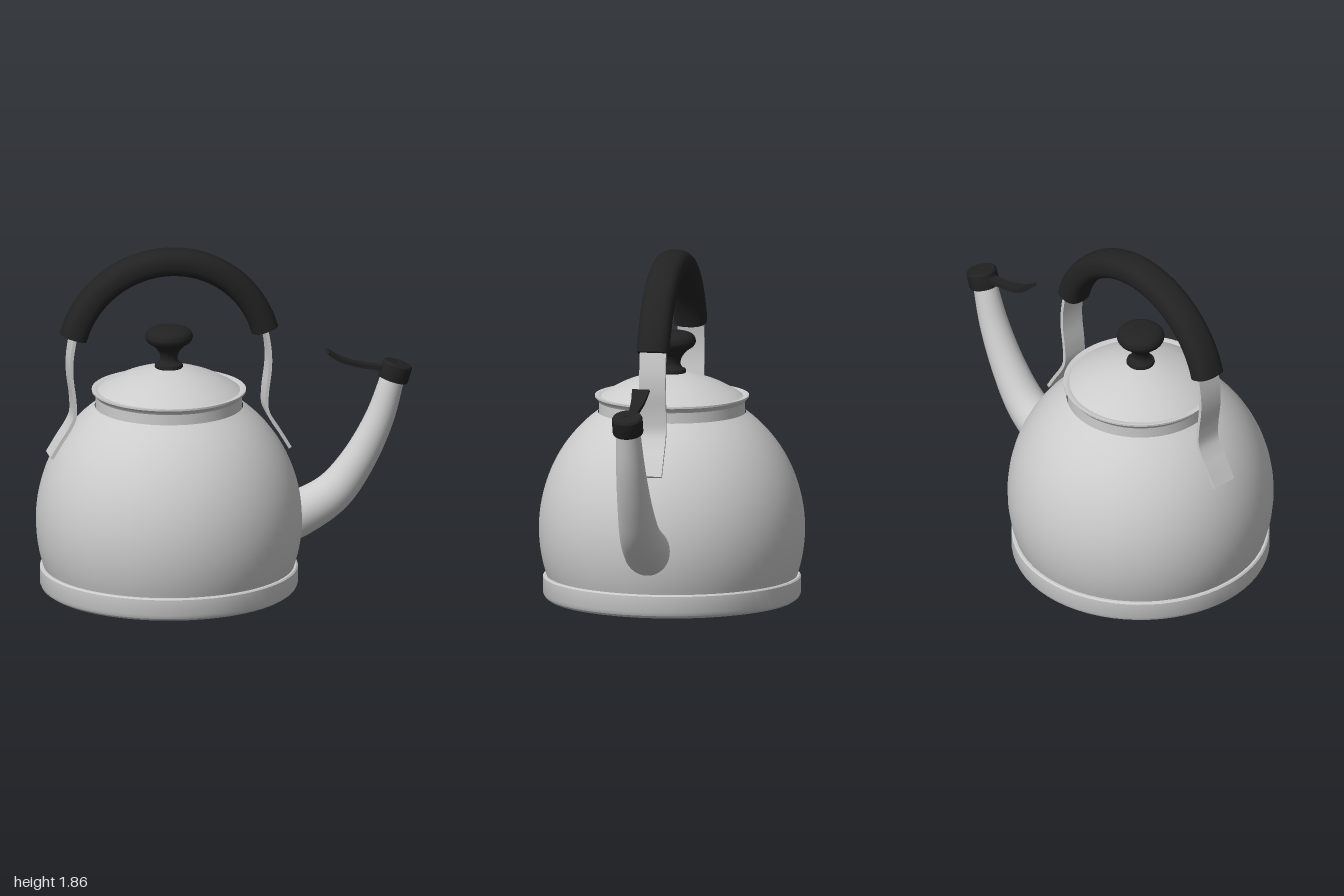
import * as THREE from 'three';
import { toCreasedNormals } from 'three/addons/utils/BufferGeometryUtils.js';

const steel = new THREE.MeshStandardMaterial({ name: 'steel', color: 0xcccccc });
const black = new THREE.MeshStandardMaterial({ name: 'blackPlastic', color: 0x222222 });

const CX = -0.3; // axis of the body

function curve(points, n) {
  return new THREE.CatmullRomCurve3(points.map(([x, y]) => new THREE.Vector3(x, y, 0))).getPoints(n);
}

// Unit cross-sections
const SQUARE = [[1, 1], [-1, 1], [-1, -1], [1, -1]];
function roundSection(n, power = 1) {
  const bend = (v) => Math.sign(v) * Math.abs(v) ** power;
  return Array.from({ length: n }, (_, i) => {
    const a = (i / n) * Math.PI * 2;
    return [bend(Math.cos(a)), bend(Math.sin(a))];
  });
}

// Sweep a section along a path in the xy plane; size(t) = [half thickness, half width in z]
function sweep(path, section, size, crease = 0.7) {
  const pos = [], idx = [], n = section.length, last = path.length - 1;
  path.forEach((p, i) => {
    const t = path[Math.min(i + 1, last)].clone().sub(path[Math.max(i - 1, 0)]).normalize();
    const [a, b] = size(i / last);
    for (const [u, v] of section) pos.push(p.x - t.y * a * u, p.y + t.x * a * u, b * v);
  });
  for (let i = 0; i < last; i++) {
    for (let j = 0; j < n; j++) {
      const k = (j + 1) % n, r = i * n, s = r + n;
      idx.push(r + j, r + k, s + k, r + j, s + k, s + j);
    }
  }
  // end caps
  for (let j = 1; j < n - 1; j++) idx.push(0, j + 1, j, last * n, last * n + j, last * n + j + 1);
  const g = new THREE.BufferGeometry();
  g.setAttribute('position', new THREE.Float32BufferAttribute(pos, 3));
  g.setIndex(idx);
  return toCreasedNormals(g, crease);
}

function lathe(profile, segments = 64) {
  const pts = profile.map(([r, y]) => new THREE.Vector2(r, y));
  return toCreasedNormals(new THREE.LatheGeometry(pts, segments), 0.5);
}

export function createModel() {
  const group = new THREE.Group();
  function add(name, geometry, material, x = 0, y = 0) {
    const mesh = new THREE.Mesh(geometry, material);
    mesh.name = name;
    mesh.position.set(x, y, 0);
    group.add(mesh);
    return mesh;
  }

  // Base band
  add('base', lathe([[0, 0], [0.62, 0], [0.65, 0.006], [0.67, 0.02], [0.679, 0.04],
    [0.679, 0.125], [0.672, 0.132], [0.64, 0.132]]), steel, CX);

  // Rounded body and neck
  const body = [];
  for (let i = 0; i <= 28; i++) {
    const y = 0.125 + (i / 28) * 0.875;
    body.push([0.7 * Math.sqrt(1 - ((y - 0.38) / 0.747) ** 2), y]);
  }
  add('body', lathe(body), steel, CX);
  add('neck', lathe([[0.385, 0.98], [0.385, 1.065]]), steel, CX);

  // Lid with thin rim
  const dome = curve([[0.375, 1.085], [0.34, 1.108], [0.25, 1.155], [0.15, 1.19], [0.07, 1.208], [0, 1.212]], 18);
  add('lid', lathe([[0, 1.055], [0.385, 1.055], [0.392, 1.068], [0.406, 1.08], [0.406, 1.09],
    [0.395, 1.091], ...dome.map((p) => [Math.max(p.x, 0), p.y])]), steel, CX);

  // Lid knob
  const knob = curve([[0.06, 1.232], [0.046, 1.25], [0.05, 1.285], [0.08, 1.325], [0.115, 1.35],
    [0.126, 1.378], [0.115, 1.405], [0.085, 1.422], [0.045, 1.427], [0, 1.428]], 30);
  add('lidKnob', lathe([[0, 1.205], [0.07, 1.205], [0.075, 1.213], [0.072, 1.228],
    ...knob.map((p) => [Math.max(p.x, 0), p.y])], 40), black, CX);

  // Tapered curved spout
  const spoutPath = curve([[0.25, 0.33], [0.4, 0.38], [0.57, 0.48], [0.7, 0.64], [0.82, 0.87], [0.9, 1.12]], 36);
  add('spout', sweep(spoutPath, roundSection(36), (t) => {
    const r = 0.138 - 0.076 * t;
    return [r, r];
  }), steel);

  // Spout cap, tilted along the spout, with a small top button
  const cap = add('spoutCap', lathe([[0, -0.048], [0.078, -0.048], [0.081, -0.04], [0.081, 0.036],
    [0.074, 0.047], [0.02, 0.047], [0.016, 0.042], [0, 0.042]], 36), black, 0.908, 1.13);
  cap.rotation.z = -0.31;

  // Thumb lever, widening at its tip
  const leverPath = curve([[0.88, 1.15], [0.8, 1.157], [0.7, 1.178], [0.61, 1.21], [0.545, 1.253]], 16);
  add('spoutLever', sweep(leverPath, SQUARE,
    (t) => [0.014 - 0.006 * t, 0.025 + 0.022 * Math.max(0, (t - 0.4) / 0.6)]), black);

  // Flat straps holding the handle, mirrored about the body axis
  const strapPoints = [[0.5, 1.45], [0.515, 1.38], [0.529, 1.28], [0.529, 1.19], [0.513, 1.06],
    [0.513, 0.97], [0.54, 0.91], [0.585, 0.84], [0.636, 0.755]];
  for (const [side, name] of [[1, 'leftStrap'], [-1, 'rightStrap']]) {
    const path = curve(strapPoints.map(([u, y]) => [CX + side * u, y]), 40);
    add(name, sweep(path, SQUARE, () => [0.009, 0.07]), steel);
  }

  // Arched grip
  const grip = [];
  for (let i = 0; i <= 40; i++) {
    const a = 0.27 + (i / 40) * (Math.PI - 0.54);
    grip.push(new THREE.Vector3(CX + 0.529 * Math.cos(a), 1.254 + 0.529 * Math.sin(a), 0));
  }
  add('handleGrip', sweep(grip, roundSection(32, 0.8), () => [0.072, 0.086]), black);

  return group;
}
